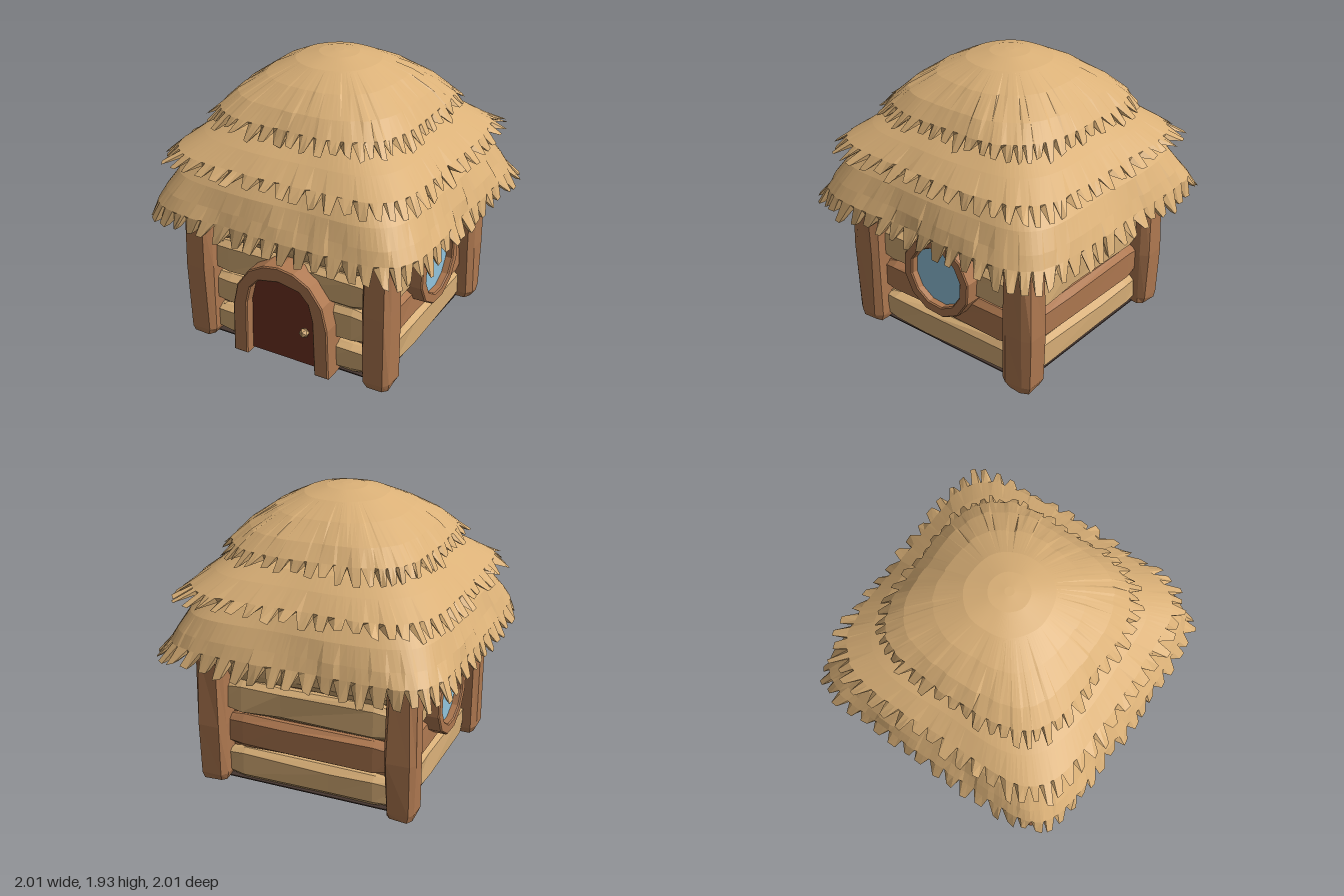
import * as THREE from 'three';

const mat = (name, color) => {
  const m = new THREE.MeshStandardMaterial({ color });
  m.name = name;
  return m;
};

// Small seeded generator for hand-carved irregularity
let seed = 7;
const rand = () => {
  seed = (seed * 16807) % 2147483647;
  return seed / 2147483647;
};
const jit = (a) => (rand() * 2 - 1) * a;

// Closed faceted solid through rings of points; always wound outwards
function loft(rings) {
  const tris = [];
  const n = rings[0].length;
  for (let r = 0; r < rings.length - 1; r++) {
    for (let i = 0; i < n; i++) {
      const j = (i + 1) % n;
      const [a, b, c, d] = [rings[r][i], rings[r][j], rings[r + 1][j], rings[r + 1][i]];
      tris.push([a, b, c], [a, c, d]);
    }
  }
  [rings[0], rings[rings.length - 1]].forEach((ring, end) => {
    const mid = ring.reduce((s, p) => s.add(p), new THREE.Vector3()).divideScalar(n);
    for (let i = 0; i < n; i++) {
      const [p, q] = [ring[i], ring[(i + 1) % n]];
      tris.push(end ? [mid, p, q] : [mid, q, p]);
    }
  });
  const cross = new THREE.Vector3();
  const volume = tris.reduce((s, [a, b, c]) => s + a.dot(cross.crossVectors(b, c)), 0);
  const points = tris.flatMap(([a, b, c]) => (volume < 0 ? [a, c, b] : [a, b, c]));
  const geo = new THREE.BufferGeometry().setFromPoints(points);
  geo.computeVertexNormals();
  return geo;
}

// Chamfered beam along y; stations are [position, scale]
const section = [[1, 0.55], [0.7, 1], [-0.7, 1], [-1, 0.55], [-1, -0.55], [-0.7, -1], [0.7, -1], [1, -0.55]];
const beam = (stations, rx, rz, wobble) => loft(stations.map(([y, s]) => section.map(([x, z]) =>
  new THREE.Vector3(x * rx * s + jit(wobble), y, z * rz * s + jit(wobble)))));

// One thatch tier: rounded-square skirt ending in blunt straw tips.
// Profile entries are [half width, y, squareness].
function thatch(profile, tip, notch, inner, teeth) {
  const cols = [];
  for (let t = 0; t < teeth; t++) {
    const depth = rand();
    const flare = jit(0.02);
    const shift = jit(0.12);
    [0, 0.3, 0.7].forEach((f, k) => {
      const u = ((t + f + (k ? shift : 0) + jit(0.06)) / teeth) * 4;
      const side = Math.floor(u);
      const angle = Math.atan((u - side) * 2 - 1) + side * Math.PI / 2;
      cols.push({ angle, isTip: k > 0, depth: depth + jit(0.3), flare: flare + jit(0.008) });
    });
  }
  const place = (c, [h, y, n]) => {
    const x = Math.cos(c.angle), z = Math.sin(c.angle);
    const s = h / Math.pow(Math.abs(x) ** n + Math.abs(z) ** n, 1 / n);
    return new THREE.Vector3(x * s, y, z * s);
  };
  const edge = (inset, lift) => cols.map((c) => (c.isTip
    ? place(c, [tip[0] + c.flare - inset, tip[1] + c.depth * 0.04 + lift, tip[2]])
    : place(c, [notch[0] - 0.015 - inset, notch[1] + jit(0.02) + lift, notch[2]])));
  const outer = profile.map(([h, y, n], r) => {
    const bulge = Array.from({ length: teeth }, () => (r > 2 ? jit(0.007) : 0));
    return cols.map((c, i) => place(c, [
      h + bulge[Math.floor(i / 3)] + Math.sin(c.angle * 7 + r) * 0.008 * Math.min(1, h), y, n]));
  });
  const under = inner.map((p) => cols.map((c) => place(c, p)));
  return loft([...outer, edge(0, 0), edge(0.03, 0.012), ...under]);
}

const mirrored = (half) => [...half, ...half.filter(([x]) => x !== 0).reverse().map(([x, y]) => [-x, y])];
const toVecs = (pts) => pts.map(([x, y]) => new THREE.Vector2(x, y));
const polygon = (r, n) => Array.from({ length: n }, (_, i) => {
  const a = (i / n) * Math.PI * 2 + 0.2;
  return [Math.cos(a) * r, Math.sin(a) * r];
});
const extrude = (shape, depth, bevel) => new THREE.ExtrudeGeometry(shape, {
  depth: depth - 2 * bevel, bevelEnabled: bevel > 0, bevelSize: bevel, bevelThickness: bevel,
  bevelOffset: -bevel, bevelSegments: 1,
}).translate(0, 0, bevel);

export function createModel() {
  seed = 7;
  const straw = mat('straw', 0xdab077);
  const paleWood = mat('pale wood', 0xd6ad76);
  const brownWood = mat('brown wood', 0xae7850);
  const doorRed = mat('door red', 0x6e3223);
  const glassBlue = mat('glass blue', 0x92c5de);
  const dark = mat('floor dark', 0x453630);

  const model = new THREE.Group();
  model.name = 'hut';
  const add = (parent, name, geo, material, x = 0, y = 0, z = 0) => {
    const m = new THREE.Mesh(geo, material);
    m.name = name;
    m.position.set(x, y, z);
    parent.add(m);
    return m;
  };

  // Solid core behind the logs, and the floor
  add(model, 'wallCore', new THREE.BoxGeometry(1.2, 1.15, 1.2), brownWood, 0, 0.595, 0);
  add(model, 'floor', new THREE.BoxGeometry(1.3, 0.008, 1.3), dark, 0, 0.004, 0);

  // Log walls: four logs per side, brown second row except at the front
  const rows = [[0.121, 0.108], [0.36, 0.118], [0.605, 0.118], [0.895, 0.168]];
  for (let k = 0; k < 4; k++) {
    const wall = new THREE.Group();
    wall.name = ['frontWall', 'leftWall', 'backWall', 'rightWall'][k];
    wall.rotation.y = k * Math.PI / 2;
    rows.forEach(([y, h], r) => {
      const geo = beam([[-0.63, 0.8], [-0.46, 1], [jit(0.2), 0.98], [0.46, 1], [0.63, 0.8]], h, 0.1, 0.009);
      geo.rotateZ(Math.PI / 2);
      add(wall, 'log', geo, r === 1 && k > 0 ? brownWood : paleWood, 0, y, 0.575);
    });
    model.add(wall);
  }

  // Corner posts
  for (const sx of [-1, 1]) {
    for (const sz of [-1, 1]) {
      const geo = beam([[0, 0.8], [0.05, 0.96], [0.45 + jit(0.1), 1.02], [0.92, 0.94], [1.1, 0.8]], 0.102, 0.112, 0.007);
      add(model, 'cornerPost', geo, brownWood, sx * 0.66, 0, sz * 0.645);
    }
  }

  // Arched door with frame and knob
  const outerArch = [[-0.36, 0], [-0.352, 0.36], [-0.315, 0.52], [-0.225, 0.645], [-0.11, 0.708], [0, 0.725]];
  const innerArch = [[-0.255, 0], [-0.245, 0.4], [-0.215, 0.52], [-0.15, 0.59], [0, 0.62]];
  const door = new THREE.Group();
  door.name = 'door';
  const frame = new THREE.Shape(toVecs([...mirrored(outerArch), ...mirrored(innerArch).reverse()]));
  add(door, 'doorFrame', extrude(frame, 0.19, 0.008), brownWood, 0, 0, 0.6);
  const panel = mirrored(innerArch).map(([x, y]) => [x * 1.06, y === 0 ? 0.015 : y + 0.015]);
  add(door, 'doorPanel', extrude(new THREE.Shape(toVecs(panel)), 0.1, 0), doorRed, 0, 0, 0.62);
  add(door, 'doorKnob', new THREE.IcosahedronGeometry(0.034, 0), paleWood, 0.16, 0.27, 0.745);
  model.add(door);

  // Round side windows
  for (const s of [-1, 1]) {
    const win = new THREE.Group();
    win.name = s > 0 ? 'leftWindow' : 'rightWindow';
    win.rotation.y = s * Math.PI / 2;
    win.position.y = 0.582;
    const ring = new THREE.Shape(toVecs(polygon(0.282, 12)));
    ring.holes.push(new THREE.Path(toVecs(polygon(0.21, 12))));
    add(win, 'windowFrame', extrude(ring, 0.16, 0.008), brownWood, 0, 0, 0.6);
    const glass = new THREE.CylinderGeometry(0.225, 0.225, 0.008, 12).rotateX(Math.PI / 2);
    add(win, 'windowGlass', glass, glassBlue, 0, 0, 0.705);
    model.add(win);
  }

  // Three overlapping thatch tiers
  const roof = new THREE.Group();
  roof.name = 'roof';
  add(roof, 'lowerThatch', thatch(
    [[0.55, 1.38, 5], [0.76, 1.3, 5.5], [0.84, 1.2, 6], [0.9, 1.09, 6.5], [0.94, 1.01, 7]],
    [0.983, 0.88, 8], [0.945, 0.99, 7], [[0.86, 1.04, 7], [0.6, 1.15, 8]], 66), straw);
  add(roof, 'middleThatch', thatch(
    [[0.45, 1.58, 4], [0.62, 1.53, 4], [0.73, 1.455, 4.4], [0.845, 1.36, 5.3]],
    [0.922, 1.27, 6], [0.855, 1.345, 5.3], [[0.77, 1.37, 5], [0.5, 1.46, 4]], 62), straw);
  add(roof, 'topThatch', thatch(
    [[0.03, 1.928, 2], [0.13, 1.918, 2], [0.27, 1.88, 2.2], [0.43, 1.8, 2.6], [0.57, 1.7, 3.2], [0.655, 1.61, 3.6]],
    [0.71, 1.515, 3.8], [0.665, 1.59, 3.6], [[0.59, 1.62, 3.6], [0.3, 1.7, 3]], 56), straw);
  model.add(roof);

  return model;
}
